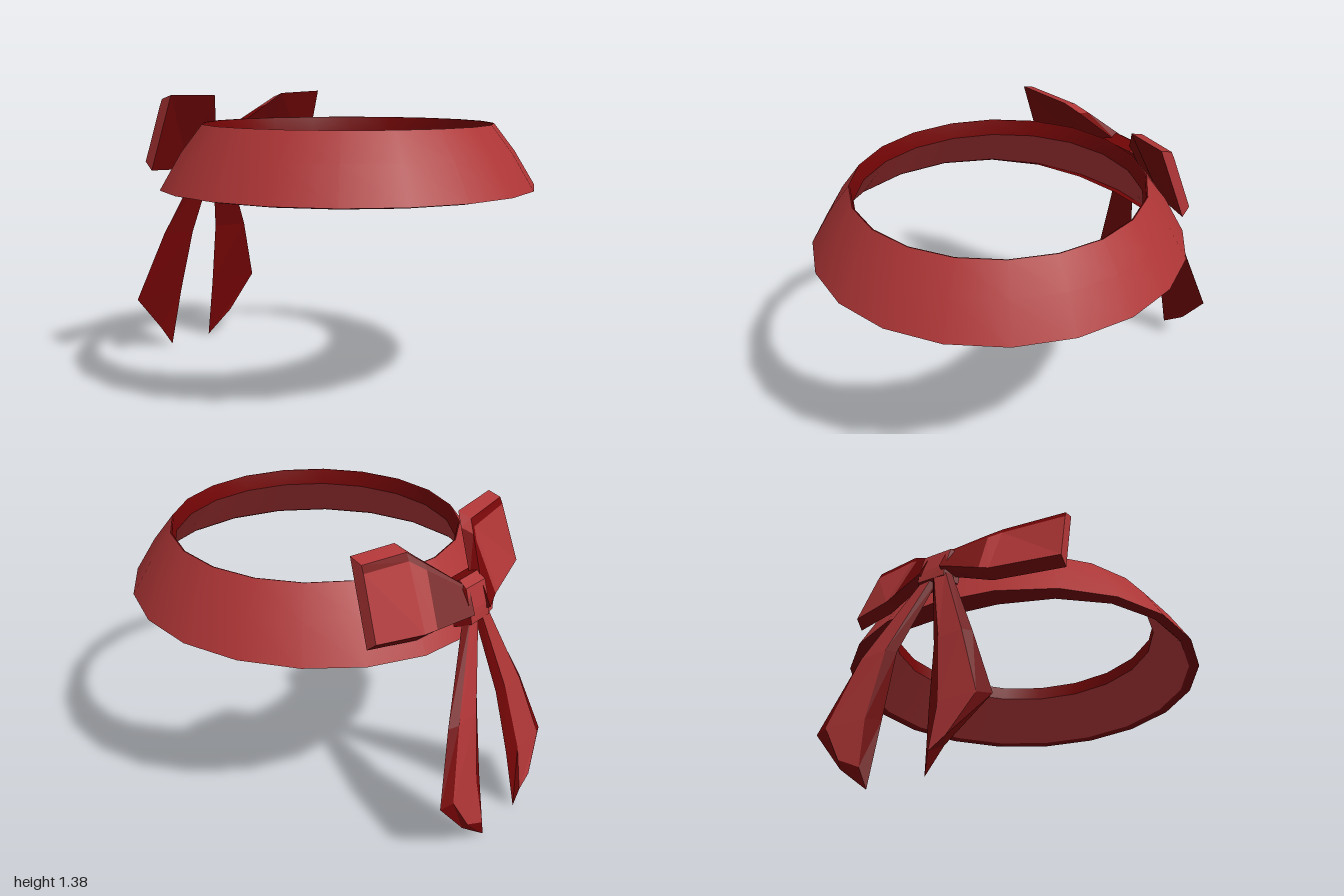
import * as THREE from 'three';

const V = (p) => new THREE.Vector3(...p);

export function createModel() {
  const model = new THREE.Group();
  const lightRed = new THREE.MeshStandardMaterial({ color: 0xae3536 });
  lightRed.name = 'lightRed';
  const darkRed = new THREE.MeshStandardMaterial({ color: 0x750506 });
  darkRed.name = 'darkRed';
  const outward = new THREE.Vector3(-0.44, 0.32, -0.84).normalize();

  // Flared band: closed cross-section, one lathe per sharp-edged strip.
  // Each point is [radius, height, how far it is drawn inwards beneath the bow]
  const band = new THREE.Group();
  band.name = 'band';
  band.position.z = 0.13;
  const strips = [
    ['bandOuter', lightRed, [[0.875, 0.95, 0], [0.778, 1.11, 0], [0.68, 1.237, 0]]],
    ['bandTopRim', darkRed, [[0.68, 1.237, 0], [0.673, 1.235, 0], [0.664, 1.16, 0]]],
    ['bandInner', lightRed, [[0.664, 1.16, 0], [0.825, 0.95, 0.04]]],
    ['bandBottomRim', darkRed, [[0.825, 0.95, 0.04], [0.835, 0.942, 0.07], [0.875, 0.95, 0]]],
  ];
  for (const [name, material, profile] of strips) {
    const points = profile.map(([r, y]) => new THREE.Vector2(r, y));
    const geo = new THREE.LatheGeometry(points, 20, 0.19);
    const pos = geo.attributes.position;
    // Beneath the bow the lower edge sags and thickens inwards
    for (let i = 0; i < pos.count; i++) {
      const x = pos.getX(i), y = pos.getY(i), z = pos.getZ(i);
      const r = Math.hypot(x, z);
      const facing = Math.max(0, (-0.48 * x - 0.88 * z) / r);
      const scale = 1 - (profile[i % profile.length][2] * facing ** 4) / r;
      pos.setXYZ(i, x * scale, y < 1 ? y - 0.03 * facing ** 3 : y, z * scale);
    }
    const mesh = new THREE.Mesh(geo, material);
    mesh.name = name;
    band.add(mesh);
  }
  model.add(band);

  // Fabric piece swept through rows of [edge, edge] points on its back.
  // columns: [fraction across, raised height]; tones: first light segment of each strip.
  // endInset shortens the raised face.
  function fabric(name, rows, { columns, tones, endInset = 0, lightEnd = false }) {
    const back = rows.map(([a, b]) => [V(a), V(b)]);
    const last = back.length - 1;
    const across = back[last][1].clone().sub(back[last][0]);
    const along = back[last][0].clone().sub(back[0][0]);
    const flip = across.cross(along).dot(outward) < 0;
    const front = back.map(([a, b]) => columns.map(([u]) => a.clone().lerp(b, u)));
    front[last].forEach((p, j) => {
      if (columns[j][1] > 0) p.lerp(front[last - 1][j], endInset);
    });
    front.forEach((r) => r.forEach((p, j) => p.addScaledVector(outward, columns[j][1])));

    const light = [], dark = [];
    const face = (out, ...corners) => {
      if (flip) corners.reverse();
      for (let k = 1; k < corners.length - 1; k++) {
        for (const p of [corners[0], corners[k], corners[k + 1]]) out.push(p.x, p.y, p.z);
      }
    };
    for (let i = 0; i < last; i++) {
      tones.forEach((from, j) => face(i >= from ? light : dark,
        front[i][j], front[i][j + 1], front[i + 1][j + 1], front[i + 1][j]));
      face(dark, back[i][1], back[i][0], back[i + 1][0], back[i + 1][1]);
    }
    face(dark, ...[...front[0]].reverse());
    face(lightEnd ? light : dark, ...front[last]);

    const group = new THREE.Group();
    group.name = name;
    for (const [part, data, material] of [['Panel', light, lightRed], ['Border', dark, darkRed]]) {
      const geo = new THREE.BufferGeometry();
      geo.setAttribute('position', new THREE.Float32BufferAttribute(data, 3));
      geo.computeVertexNormals();
      const mesh = new THREE.Mesh(geo, material);
      mesh.name = name + part;
      group.add(mesh);
    }
    model.add(group);
  }

  // Bow loops, knot outwards, each row [top, bottom]; light top edge over a dark fold
  const loop = {
    columns: [[0, 0], [0.1, 0.052], [0.19, 0.055], [0.94, 0.055], [1, 0]],
    tones: [1, Infinity, 1, Infinity],
    lightEnd: true,
  };
  fabric('leftBowLoop', [
    [[-0.37, 1.16, -0.6], [-0.38, 1.03, -0.66]],
    [[-0.18, 1.305, -0.545], [-0.19, 1.0, -0.69]],
    [[-0.1, 1.365, -0.52], [-0.13, 0.99, -0.7]],
    [[0.13, 1.375, -0.59], [0.11, 1.01, -0.73]],
  ], loop);
  fabric('rightBowLoop', [
    [[-0.45, 1.16, -0.56], [-0.48, 1.03, -0.62]],
    [[-0.5, 1.31, -0.37], [-0.59, 1.0, -0.49]],
    [[-0.52, 1.36, -0.3], [-0.62, 0.99, -0.46]],
    [[-0.77, 1.365, -0.14], [-0.85, 1.01, -0.24]],
  ], loop);

  // Hanging tails, top to pointed tip, each row [inner edge, outer edge]
  const tail = {
    columns: [[0, 0], [0.2, 0.027], [0.8, 0.027], [1, 0]],
    tones: [Infinity, 0, Infinity],
    endInset: 0.22,
  };
  fabric('leftTail', [
    [[-0.45, 1.03, -0.63], [-0.37, 1.03, -0.66]],
    [[-0.4, 0.64, -0.79], [-0.21, 0.63, -0.88]],
    [[-0.41, 0.31, -0.845], [-0.13, 0.31, -1]],
    [[-0.425, 0, -0.9], [-0.28, 0.12, -0.95]],
  ], tail);
  fabric('rightTail', [
    [[-0.43, 1.03, -0.65], [-0.51, 1.03, -0.6]],
    [[-0.55, 0.63, -0.7], [-0.72, 0.64, -0.62]],
    [[-0.61, 0.31, -0.745], [-0.87, 0.3, -0.62]],
    [[-0.66, 0, -0.78], [-0.73, 0.11, -0.74]],
  ], tail);

  // Knot, each row [left, right]
  fabric('knot', [
    [[-0.3, 1.17, -0.58], [-0.48, 1.17, -0.49]],
    [[-0.31, 1.145, -0.62], [-0.5, 1.145, -0.53]],
    [[-0.32, 1.05, -0.65], [-0.51, 1.05, -0.56]],
    [[-0.33, 0.99, -0.66], [-0.51, 0.99, -0.57]],
  ], { columns: [[0, 0], [0.17, 0.07], [0.83, 0.07], [1, 0]], tones: [Infinity, 0, Infinity] });

  return model;
}
